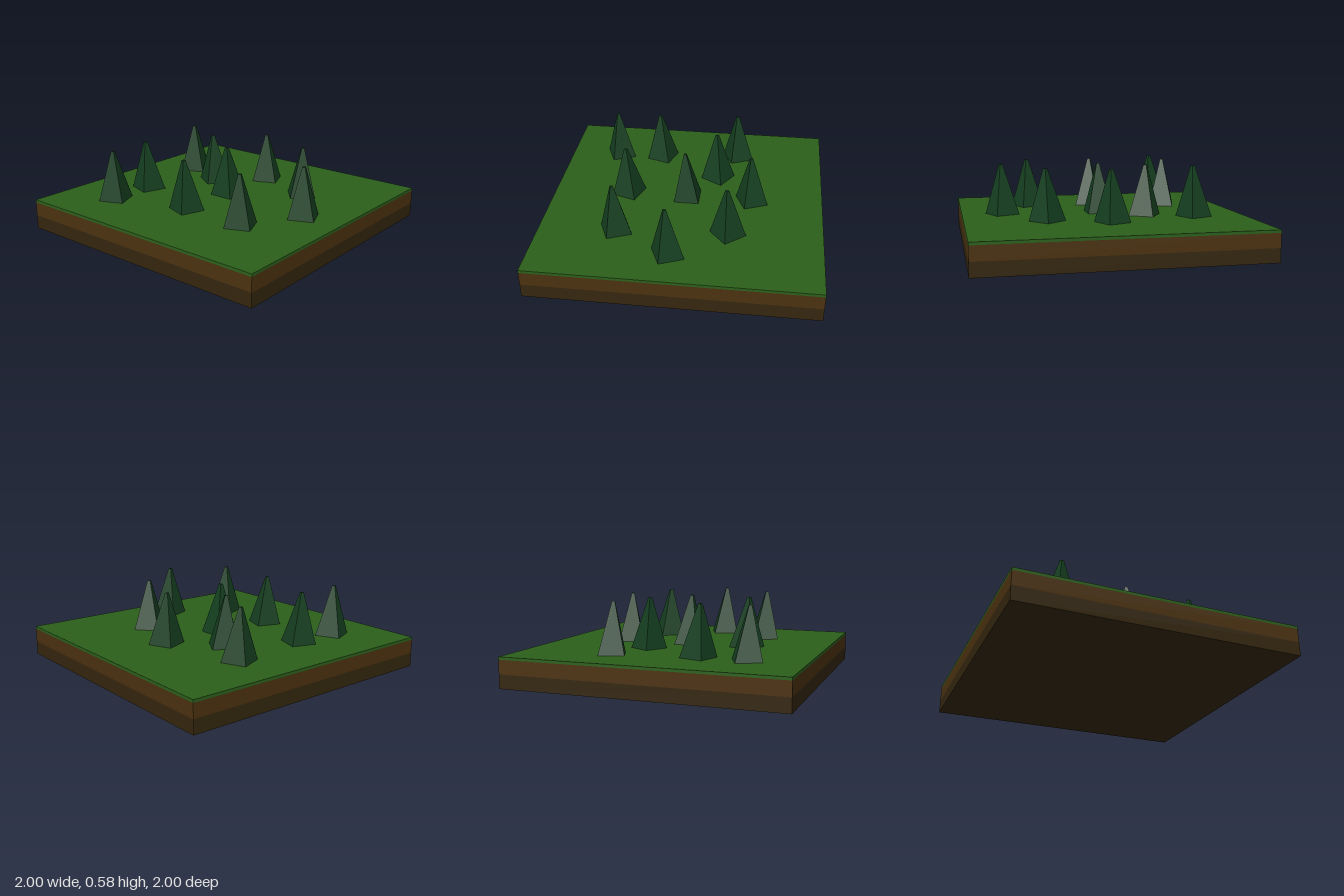
import * as THREE from 'three';

const GROUND = 0.22, TREE_HEIGHT = 0.363, TREE_SIDE = 0.182, TIP_SIDE = 0.02, LEAN = 0.017;

function material(color) {
  return new THREE.MeshStandardMaterial({ color, flatShading: true });
}

// Slab of ground between two heights
function layer(name, bottom, top, color) {
  const mesh = new THREE.Mesh(new THREE.BoxGeometry(2, top - bottom, 2), material(color));
  mesh.position.y = (bottom + top) / 2;
  mesh.name = name;
  return mesh;
}

// Four-sided tree with a tiny flat tip, leaning slightly forward
function treeGeometry() {
  const geometry = new THREE.CylinderGeometry(TIP_SIDE / Math.SQRT2, TREE_SIDE / Math.SQRT2, TREE_HEIGHT, 4);
  geometry.rotateY(Math.PI / 4);
  geometry.translate(0, TREE_HEIGHT / 2, 0);
  const p = geometry.attributes.position;
  for (let i = 0; i < p.count; i++) p.setZ(i, p.getZ(i) + LEAN * p.getY(i) / TREE_HEIGHT);
  geometry.computeVertexNormals();
  return geometry;
}

export function createModel() {
  const model = new THREE.Group();
  model.name = 'forestTile';

  // Ground layers
  model.add(
    layer('lowerSoil', 0, 0.1, 0x35270f),
    layer('upperSoil', 0.1, 0.2, 0x4c3210),
    layer('grass', 0.2, GROUND, 0x2c601b)
  );

  // Trees: x, z, turn in degrees
  const places = [
    [0, 0, 0],
    [-0.63, -0.34, 23],
    [0, -0.48, 23],
    [-0.30, -0.203, -31],
    [0.43, -0.335, 40],
    [0.706, 0.05, 23],
    [-0.567, 0.267, -18],
    [-0.015, 0.443, -19],
    [0.473, 0.447, 23],
    [-0.57, 0.605, 23],
  ];
  const geometry = treeGeometry();
  const green = material(0x153f20);
  const trees = new THREE.Group();
  trees.name = 'trees';
  for (const [x, z, turn] of places) {
    const tree = new THREE.Mesh(geometry, green);
    tree.name = 'tree';
    tree.position.set(x, GROUND, z);
    tree.rotation.y = THREE.MathUtils.degToRad(turn);
    trees.add(tree);
  }
  model.add(trees);
  return model;
}
